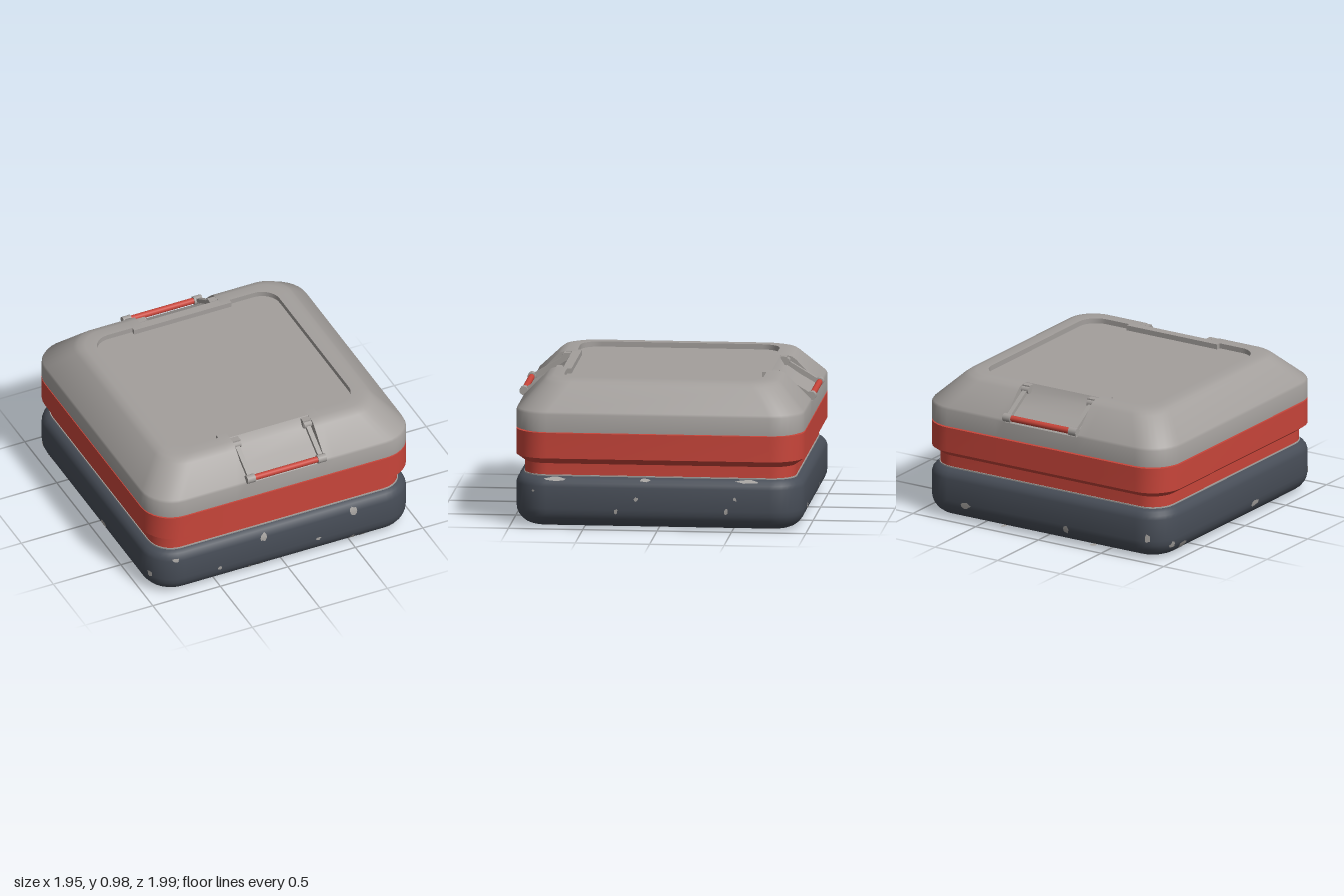
import * as THREE from 'three';
import { toCreasedNormals } from 'three/addons/utils/BufferGeometryUtils.js';

const mat = (name, color, side = THREE.FrontSide) => {
  const m = new THREE.MeshStandardMaterial({ color, side });
  m.name = name;
  return m;
};

// One rounded-square ring. On the front and back sides the middle may be
// pulled in (notch) or lowered (scoop = [z, y]).
function ring({ h, y, r = Math.max(0, h - 0.75), notch = h, scoop = [notch, y] }) {
  const pts = [];
  const corner = (sx, sz, start) => {
    for (let i = 0; i <= 8; i++) {
      const a = start + (i / 8) * Math.PI / 2;
      pts.push([sx * (h - r) + r * Math.cos(a), y, sz * (h - r) + r * Math.sin(a)]);
    }
  };
  const middle = (s) => {
    const a = s * Math.min(0.36, h), b = s * Math.min(0.29, h);
    const half = [[a, y, s * h], [a, y, s * notch], [b, y, s * notch], [b, scoop[1], s * scoop[0]]];
    pts.push(...half, ...half.slice().reverse().map(([x, py, z]) => [-x, py, z]));
  };
  corner(1, 1, 0);
  middle(1);
  corner(-1, 1, Math.PI / 2);
  corner(-1, -1, Math.PI);
  middle(-1);
  corner(1, -1, Math.PI * 1.5);
  return pts;
}

// Skin over a stack of rings
function loft(levels) {
  const rings = levels.map(ring), n = rings[0].length, index = [];
  for (let i = 0; i < rings.length - 1; i++) {
    for (let j = 0; j < n; j++) {
      const k = (j + 1) % n, a = i * n + j, b = i * n + k;
      index.push(a, a + n, b, b, a + n, b + n);
    }
  }
  const g = new THREE.BufferGeometry();
  g.setAttribute('position', new THREE.Float32BufferAttribute(rings.flat(2), 3));
  g.setIndex(index);
  return toCreasedNormals(g, 0.6);
}

// Base side profile: [half width, height]
const baseProfile = [[0.835, 0]];
for (let i = 1; i <= 6; i++) {
  const a = (i / 6) * Math.PI / 2;
  baseProfile.push([0.835 + 0.135 * Math.sin(a), 0.13 * (1 - Math.cos(a))]);
}
baseProfile.push([0.97, 0.28], [0.962, 0.306], [0.945, 0.328], [0.92, 0.345]);

function baseHalf(y) {
  for (let i = 1; i < baseProfile.length; i++) {
    const [h0, y0] = baseProfile[i - 1], [h1, y1] = baseProfile[i];
    if (y <= y1) return h0 + (h1 - h0) * Math.max(0, (y - y0) / (y1 - y0));
  }
  return 0.92;
}

export function createModel() {
  const model = new THREE.Group();
  model.name = 'case';
  const grey = mat('warm grey', 0xa39f9c);
  const red = mat('red', 0xc8453a);
  const navy = mat('slate blue', 0x474d57);
  const bare = mat('bare metal', 0xa5a29f, THREE.DoubleSide);

  const add = (name, geometry, material, parent = model) => {
    const m = new THREE.Mesh(geometry, material);
    m.name = name;
    parent.add(m);
    return m;
  };

  // Stacked body
  add('base', loft([{ h: 0, y: 0 }, ...baseProfile.map(([h, y]) => ({ h, y })), { h: 0, y: 0.345 }]), navy);
  add('lowerSeal', loft([{ h: 0.85, y: 0.34 }, { h: 0.918, y: 0.34 }, { h: 0.918, y: 0.354 }, { h: 0.85, y: 0.354 }]), bare);
  add('redBand', loft([
    { h: 0.85, y: 0.353 }, { h: 0.912, y: 0.353 }, { h: 0.912, y: 0.43 },
    { h: 0.97, y: 0.472 }, { h: 0.97, y: 0.645 }, { h: 0.9, y: 0.645 },
  ]), red);
  add('upperSeal', loft([{ h: 0.94, y: 0.64 }, { h: 0.94, y: 0.66 }]), grey);

  // Sloped lid with handle scoops and a sunken top panel
  add('lid', loft([
    { h: 0.9, y: 0.655 }, { h: 0.97, y: 0.655 }, { h: 0.97, y: 0.77 },
    { h: 0.963, y: 0.787, r: 0.22, scoop: [0.95, 0.782] },
    { h: 0.805, y: 0.945, r: 0.19, scoop: [0.84, 0.845] },
    { h: 0.78, y: 0.964, r: 0.18, scoop: [0.735, 0.915] },
    { h: 0.74, y: 0.975, r: 0.17, scoop: [0.70, 0.975] },
    { h: 0.67, y: 0.975, r: 0.13, notch: 0.64 },
    { h: 0.67, y: 0.94, r: 0.13, notch: 0.64 },
    { h: 0, y: 0.94 },
  ]), grey);

  // Handles, front and back
  for (const turn of [0, Math.PI]) {
    const handle = new THREE.Group();
    handle.name = turn ? 'backHandle' : 'frontHandle';
    handle.rotation.y = turn;
    model.add(handle);
    const rod = (name, radius, length, material, x) => {
      const m = add(name, new THREE.CylinderGeometry(radius, radius, length, 16), material, handle);
      m.rotation.z = Math.PI / 2;
      m.position.set(x, 0.805, 0.968);
    };
    rod('grip', 0.021, 0.5, red, 0);
    for (const s of [-1, 1]) {
      rod('gripEnd', 0.029, 0.06, grey, s * 0.262);
      add('hinge', new THREE.BoxGeometry(0.06, 0.05, 0.045), grey, handle).position.set(s * 0.262, 0.948, 0.728);
      add('hingePin', new THREE.CylinderGeometry(0.025, 0.025, 0.056, 12).rotateZ(Math.PI / 2), grey, handle)
        .position.set(s * 0.262, 0.94, 0.745);
      const arm = add('arm', new THREE.BoxGeometry(0.032, 0.026, 0.27), grey, handle);
      arm.position.set(s * 0.262, 0.873, 0.852);
      arm.rotation.x = Math.atan2(0.145, 0.24);
    }
  }

  // Worn paint patches
  let seed = 7;
  const rand = () => (seed = (seed * 16807) % 2147483647) / 2147483647;
  const blob = (w, h) => {
    const g = new THREE.CircleGeometry(1, 10), p = g.attributes.position;
    const wobble = Array.from({ length: 10 }, () => 0.65 + 0.5 * rand());
    for (let i = 1; i < p.count; i++) {
      const k = wobble[(i - 1) % 10];
      p.setXY(i, p.getX(i) * k * w / 2, p.getY(i) * k * h / 2);
    }
    return g;
  };
  const sidePatch = (turn, u, y, w, h) => {
    const g = blob(w, h), p = g.attributes.position;
    for (let i = 0; i < p.count; i++) {
      const px = p.getX(i) + u, py = Math.min(0.344, Math.max(0.004, p.getY(i) + y));
      const half = baseHalf(py), r = half - 0.75, d = Math.min(r, Math.max(0, Math.abs(px) - 0.75));
      p.setXYZ(i, px, py, 0.75 + Math.sqrt(r * r - d * d) + 0.004);
    }
    g.computeVertexNormals();
    add('wornPatch', g, bare).rotation.y = turn;
  };
  const sides = [
    [0, [[-0.81, 0.29, 0.05, 0.03], [-0.165, 0.28, 0.05, 0.07], [0.5, 0.285, 0.05, 0.07], [-0.49, 0.13, 0.04, 0.03],
      [0.24, 0.14, 0.04, 0.03], [-0.26, 0.04, 0.03, 0.06], [-0.17, 0.04, 0.03, 0.06], [0.5, 0.045, 0.04, 0.07], [0.58, 0.035, 0.04, 0.06]]],
    [Math.PI / 2, [[-0.69, 0.332, 0.14, 0.025], [-0.09, 0.332, 0.08, 0.025], [0.6, 0.332, 0.15, 0.025], [-0.145, 0.205, 0.03, 0.035],
      [0.52, 0.215, 0.025, 0.03], [-0.28, 0.12, 0.025, 0.035], [0.46, 0.13, 0.03, 0.045], [-0.84, 0.25, 0.02, 0.015]]],
    [Math.PI, [[-0.6, 0.12, 0.08, 0.05], [0.2, 0.1, 0.05, 0.06], [0.84, 0.15, 0.04, 0.07]]],
    [-Math.PI / 2, [[-0.7, 0.06, 0.09, 0.05], [0.17, 0.11, 0.12, 0.05], [0.85, 0.15, 0.04, 0.05], [-0.82, 0.09, 0.05, 0.05]]],
  ];
  for (const [turn, list] of sides) for (const p of list) sidePatch(turn, ...p);

  // Streaks under the base
  for (const x of [0.39, -0.38]) {
    for (const z of [-0.77, -0.42, 0.2, 0.72]) {
      for (let i = 0; i < 4; i++) {
        const m = add('wornStreak', blob(0.035 + 0.02 * rand(), 0.08), bare);
        m.rotation.x = Math.PI / 2;
        m.position.set(x + (rand() - 0.5) * 0.07, -0.002, z + (i - 1.5) * 0.07);
      }
    }
  }
  return model;
}
